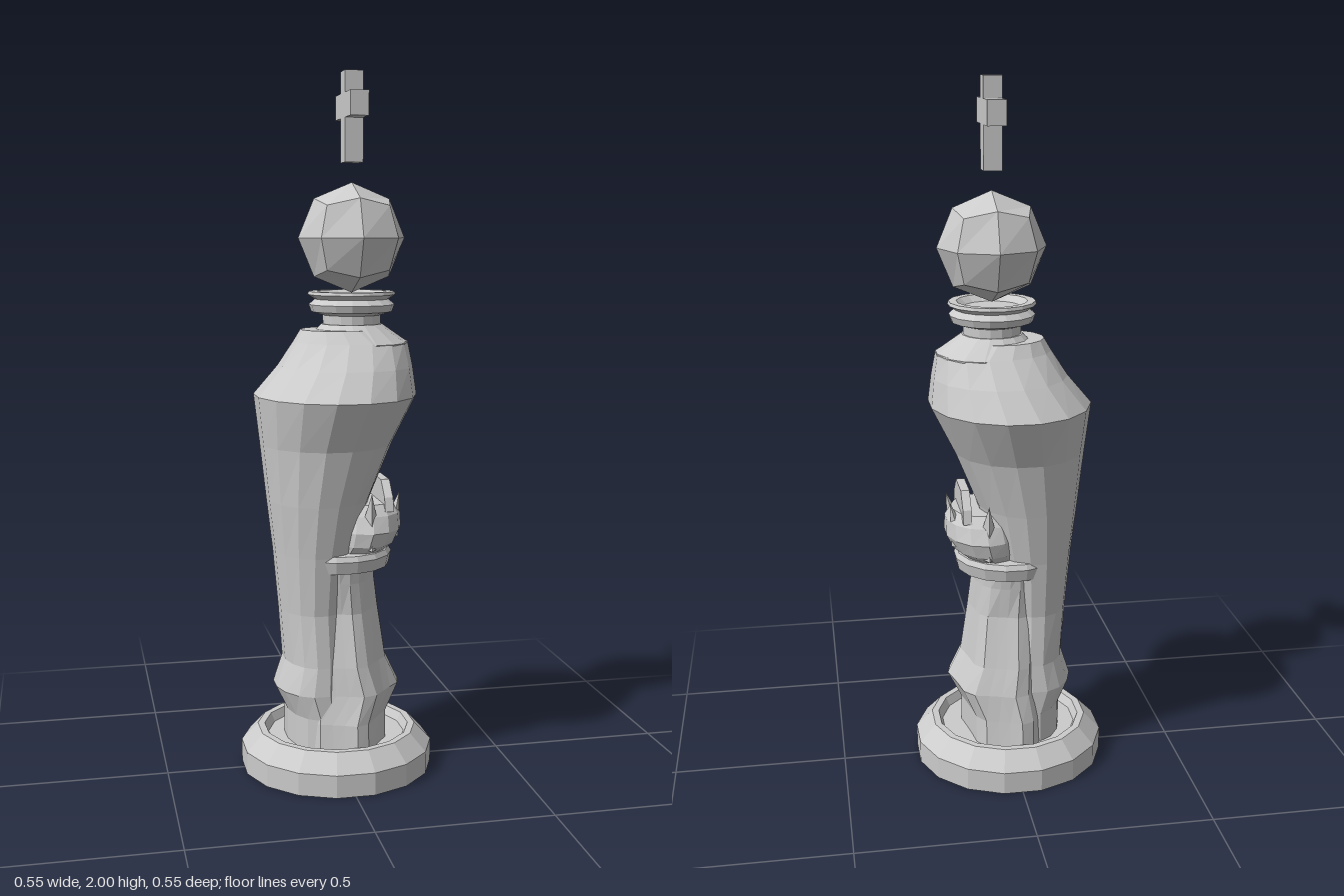
import * as THREE from 'three';

const mat = new THREE.MeshStandardMaterial({ color: 0xcccccc, flatShading: true, side: THREE.DoubleSide });
const AXIS = 0.045; // x of neck, head and cross

// Closed loft through elliptical rows [y, xMin, xMax, zHalf, pleatDepth]
function loft(rows, n) {
  const pos = [], idx = [], k = 1 / Math.cos(Math.PI / n);
  for (const [y, x0, x1, rz, pleat = 0] of rows) {
    for (let i = 0; i < n; i++) {
      const a = ((i + 0.5) / n) * Math.PI * 2;
      const s = k * (Math.floor(i / 2) % 2 ? 1 - pleat : 1);
      pos.push((x0 + x1) / 2 + (x1 - x0) / 2 * s * Math.cos(a), y, rz * s * Math.sin(a));
    }
  }
  for (let r = 0; r < rows.length - 1; r++) {
    for (let i = 0; i < n; i++) {
      const a = r * n + i, b = r * n + (i + 1) % n;
      idx.push(a, a + n, b, b, a + n, b + n);
    }
  }
  // end caps
  const last = rows.length - 1, c = pos.length / 3;
  for (const r of [0, last]) pos.push((rows[r][1] + rows[r][2]) / 2, rows[r][0], 0);
  for (let i = 0; i < n; i++) {
    const j = (i + 1) % n;
    idx.push(c, i, j, c + 1, last * n + j, last * n + i);
  }
  const g = new THREE.BufferGeometry();
  g.setAttribute('position', new THREE.Float32BufferAttribute(pos, 3));
  g.setIndex(idx);
  g.computeVertexNormals();
  return g;
}

function lathe(points, n) {
  return new THREE.LatheGeometry(points.map(p => new THREE.Vector2(...p)), n, Math.PI / n);
}

export function createModel() {
  const model = new THREE.Group();
  const add = (name, geo, x = 0, y = 0, z = 0, parent = model) => {
    const m = new THREE.Mesh(geo, mat);
    m.name = name;
    m.position.set(x, y, z);
    parent.add(m);
    return m;
  };

  // Chamfered plinth with a shallow recess
  add('base', lathe([[0, 0], [0.28, 0], [0.28, 0.065], [0.232, 0.115], [0.212, 0.115], [0.2, 0.09], [0, 0.09]], 16));

  // Pleated skirt, flaring at the hem
  add('skirt', loft([
    [0.08, -0.13, 0.14, 0.2, 0.08],
    [0.17, -0.13, 0.14, 0.19, 0.08],
    [0.25, -0.13, 0.18, 0.175, 0.08],
    [0.33, -0.12, 0.142, 0.16, 0.08],
    [0.48, -0.11, 0.12, 0.128, 0.08],
    [0.57, -0.11, 0.108, 0.13, 0.03],
    [0.63, -0.11, 0.105, 0.135],
  ], 24));

  // Long cloak that closes over the chest and shoulders
  add('cloak', loft([
    [0.08, -0.15, 0.04, 0.15],
    [0.18, -0.15, 0.04, 0.15],
    [0.25, -0.183, 0.04, 0.15],
    [0.33, -0.157, 0.03, 0.14],
    [0.48, -0.168, 0.03, 0.128],
    [0.65, -0.183, 0.05, 0.145],
    [0.8, -0.2, 0.09, 0.168],
    [0.96, -0.217, 0.155, 0.195],
    [1.1, -0.232, 0.224, 0.256],
    [1.18, -0.165, 0.215, 0.198],
    [1.25, -0.12, 0.203, 0.137],
    [1.285, -0.1, 0.14, 0.105],
  ], 16));
  add('shoulderYoke', loft([
    [1.23, -0.1, 0.2, 0.137],
    [1.247, -0.09, 0.205, 0.137],
    [1.3, -0.04, 0.13, 0.085],
  ], 16));

  // Belt
  add('belt', lathe([[0.1, 0.6], [0.152, 0.605], [0.16, 0.64], [0.152, 0.655], [0.1, 0.655]], 16));

  // Gathered cloth above the belt, with pointed folds
  const sash = new THREE.Group();
  sash.name = 'sash';
  model.add(sash);
  add('sashBody', loft([
    [0.64, -0.03, 0.12, 0.11],
    [0.675, -0.03, 0.165, 0.138],
    [0.715, -0.03, 0.185, 0.145],
    [0.76, -0.02, 0.183, 0.125],
    [0.79, 0, 0.165, 0.1],
  ], 14), 0, 0, 0, sash);
  const flap = new THREE.Shape();
  [[-0.11, 0], [0.11, 0], [0.1, 0.04], [0.055, 0.085], [-0.055, 0.085], [-0.1, 0.04]]
    .forEach(([x, y], i) => (i ? flap.lineTo(x, y) : flap.moveTo(x, y)));
  const flapGeo = new THREE.ExtrudeGeometry(flap, { depth: 0.025, bevelEnabled: false });
  flapGeo.rotateY(Math.PI / 2);
  add('centreFold', flapGeo, 0.12, 0.77, 0, sash);
  for (const s of [1, -1]) {
    const side = add('sideFold', new THREE.ConeGeometry(0.04, 0.16, 4), 0.075, 0.75, s * 0.118, sash);
    side.rotation.x = s * 0.2;
    const tip = add('frontFold', new THREE.ConeGeometry(0.03, 0.13, 4), 0.16, 0.755, s * 0.05, sash);
    tip.rotation.z = -0.25;
  }

  // Neck and double-rimmed collar
  add('collar', lathe([
    [0, 1.27], [0.082, 1.27], [0.082, 1.325], [0.115, 1.335], [0.122, 1.355],
    [0.105, 1.37], [0.125, 1.383], [0.122, 1.392], [0.1, 1.392], [0.08, 1.375], [0, 1.375],
  ], 16), AXIS);

  // Faceted head: a cube of 2 x 2 panels rounded to a ball
  const head = new THREE.BoxGeometry(1, 1, 1, 2, 2, 2);
  const p = head.attributes.position, v = new THREE.Vector3();
  for (let i = 0; i < p.count; i++) {
    v.fromBufferAttribute(p, i).setLength(0.154);
    p.setXYZ(i, v.x, v.y, v.z);
  }
  add('head', head, AXIS, 1.542, 0);

  // Floating cross
  const cross = new THREE.Shape();
  [[-0.03, 0], [0.03, 0], [0.03, 0.122], [0.1, 0.122], [0.1, 0.19], [0.03, 0.19],
    [0.03, 0.25], [-0.03, 0.25], [-0.03, 0.19], [-0.1, 0.19], [-0.1, 0.122], [-0.03, 0.122]]
    .forEach(([x, y], i) => (i ? cross.lineTo(x, y) : cross.moveTo(x, y)));
  const crossGeo = new THREE.ExtrudeGeometry(cross, { depth: 0.052, bevelEnabled: false });
  crossGeo.rotateY(Math.PI / 2);
  add('cross', crossGeo, AXIS - 0.026, 1.75, 0);

  return model;
}
